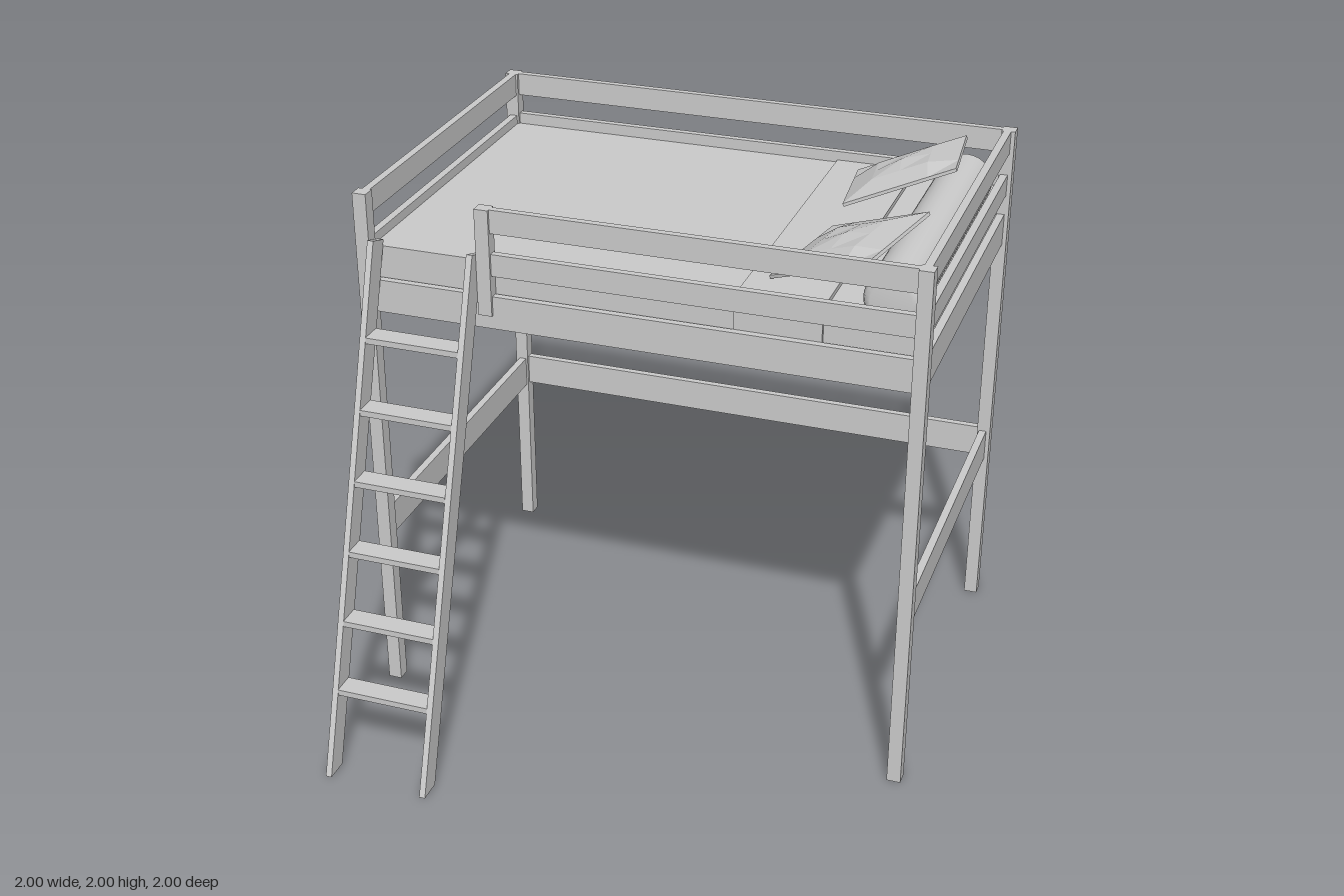
import * as THREE from 'three';

const mat = new THREE.MeshStandardMaterial({ color: 0xcccccc });
const softMat = new THREE.MeshStandardMaterial({ color: 0xcccccc, flatShading: true });

export function createModel() {
  const model = new THREE.Group();
  model.name = 'loftBed';

  const add = (name, geometry, material = mat) => {
    const mesh = new THREE.Mesh(geometry, material);
    mesh.name = name;
    model.add(mesh);
    return mesh;
  };
  // Box given by its limits on each axis
  const box = (name, x0, x1, y0, y1, z0, z1) => {
    const mesh = add(name, new THREE.BoxGeometry(x1 - x0, y1 - y0, z1 - z0));
    mesh.position.set((x0 + x1) / 2, (y0 + y1) / 2, (z0 + z1) / 2);
    return mesh;
  };

  // Corner posts and the short guard post beside the ladder
  for (const x of [-1, 0.95]) {
    box('backPost', x, x + 0.05, 0, 1.975, -1, -0.95);
    box('frontPost', x, x + 0.05, 0, 1.975, 0.315, 0.365);
  }
  box('guardPost', -0.555, -0.505, 1.59, 1.975, 0.315, 0.362);

  // Boards: low stretcher, bed frame, side board, guard rail
  const levels = [
    ['stretcher', 0.63, 0.75],
    ['frameBoard', 1.54, 1.66],
    ['sideBoard', 1.735, 1.815],
    ['guardRail', 1.89, 1.975],
  ];
  for (const [name, y0, y1] of levels) {
    box(name + 'Back', -0.95, 0.95, y0, y1, -0.99, -0.963);
    const drop = name === 'guardRail' ? 0 : 0.007;
    for (const x of [-0.985, 0.957]) {
      box(name + 'End', x, x + 0.028, y0 - drop, y1 - drop, -0.95, 0.315);
    }
    // The front has no stretcher, and its upper boards leave the ladder opening free
    if (name !== 'stretcher') {
      const x0 = name === 'frameBoard' ? -0.95 : -0.53;
      box(name + 'Front', x0, 0.95, y0, y1, 0.326, 0.352);
    }
  }

  // Slatted base with ledgers and a flat middle beam
  box('middleBeam', -0.957, 0.957, 1.56, 1.585, -0.38, -0.27);
  box('ledgerBack', -0.95, 0.95, 1.555, 1.585, -0.963, -0.935);
  box('ledgerFront', -0.95, 0.95, 1.555, 1.585, 0.298, 0.326);
  const slats = 17;
  for (let i = 0; i < slats; i++) {
    const x = -0.9 + (1.8 * i) / (slats - 1);
    box('slat', x - 0.037, x + 0.037, 1.585, 1.603, -0.96, 0.323);
  }

  // Mattress, blanket and its folded end
  box('mattress', -0.95, 0.945, 1.603, 1.765, -0.945, 0.312);
  box('blanket', -0.956, 0.36, 1.62, 1.775, -0.958, 0.32);
  box('blanketFold', 0.34, 0.64, 1.62, 1.782, -0.962, 0.325);

  // Bolster with rounded ends
  const half = 0.5825, r = 0.098;
  const profile = [[0, -half], [0.07, -half], [0.088, -half + 0.008], [r, -half + 0.03],
    [r, half - 0.03], [0.088, half - 0.008], [0.07, half], [0, half]]
    .map(([x, y]) => new THREE.Vector2(x, y));
  const bolster = add('bolster', new THREE.LatheGeometry(profile, 28));
  bolster.rotation.x = Math.PI / 2;
  bolster.position.set(0.848, 1.807, -0.3075);

  // Puffed cushions leaning on the bolster
  const pillow = (w, d, x, y, z, yaw) => {
    const g = new THREE.BoxGeometry(w, 0.02, d, 4, 1, 4);
    const p = g.attributes.position;
    for (let i = 0; i < p.count; i++) {
      const m = Math.max(Math.abs(p.getX(i)) * 2 / w, Math.abs(p.getZ(i)) * 2 / d);
      p.setY(i, Math.sign(p.getY(i)) * (0.006 + 0.04 * (1 - m ** 1.6)));
    }
    g.computeVertexNormals();
    const mesh = add('pillow', g, softMat);
    mesh.rotation.set(0, yaw, 0.4, 'ZYX');
    mesh.position.set(x, y, z);
  };
  pillow(0.42, 0.385, 0.668, 1.89, -0.665, 0.12);
  pillow(0.41, 0.385, 0.65, 1.89, 0.052, -0.33);

  // Leaning ladder: two stringers cut flat at the floor, and six treads
  const side = new THREE.Shape([[-1, 0], [-0.916, 0], [-0.313, 1.796], [-0.389, 1.82]]
    .map(([z, y]) => new THREE.Vector2(z, y)));
  for (const x of [-0.942, -0.577]) {
    const g = new THREE.ExtrudeGeometry(side, { depth: 0.022, bevelEnabled: false });
    const stringer = add('ladderStringer', g);
    stringer.rotation.y = Math.PI / 2;
    stringer.position.x = x;
  }
  for (let i = 0; i < 6; i++) {
    const y = 0.3 + i * 0.239;
    const z = 0.958 - 0.3357 * y;
    box('ladderTread', -0.92, -0.577, y - 0.011, y + 0.011, z - 0.041, z + 0.041);
  }

  return model;
}
